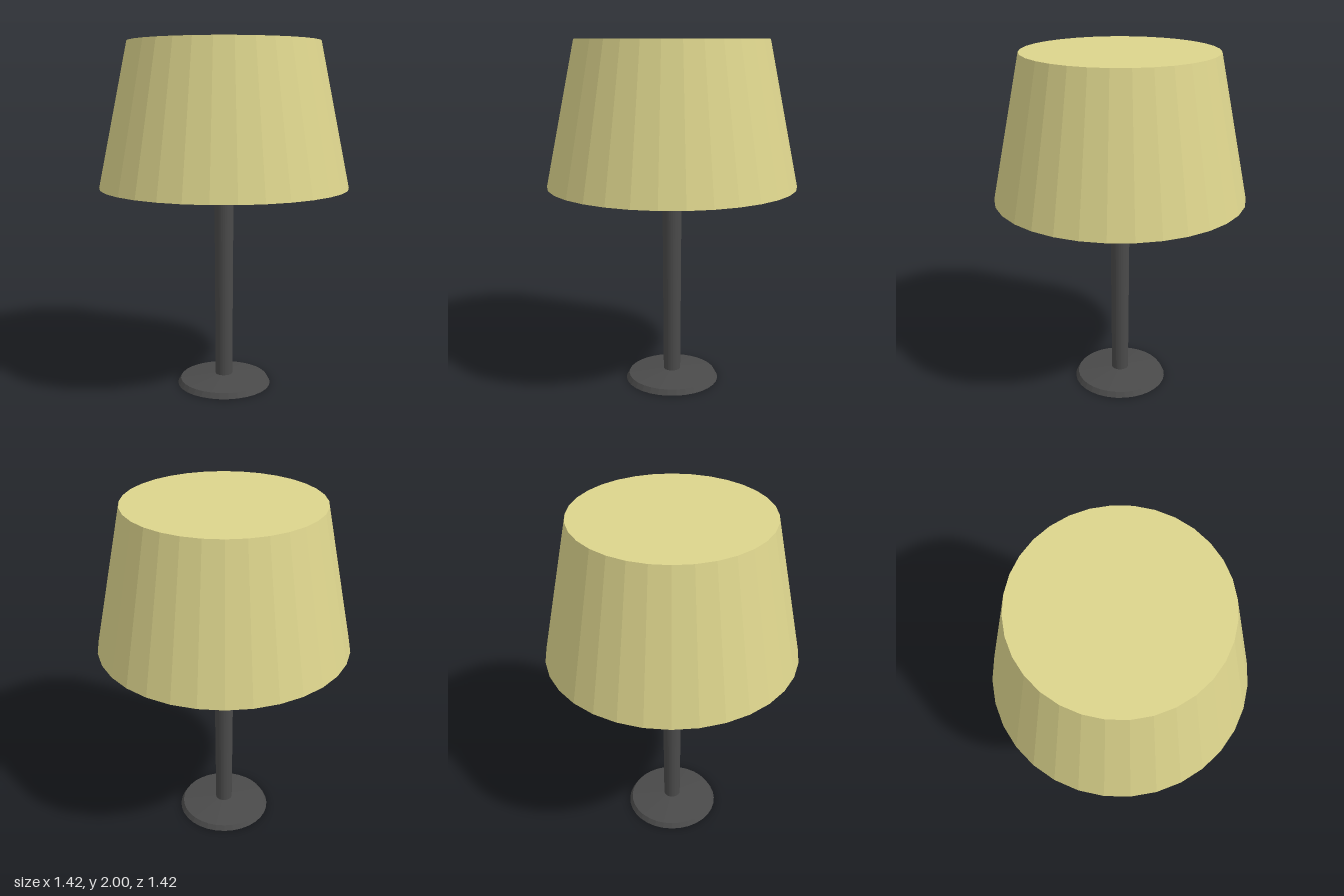
import * as THREE from 'three';

const SIDES = 32;

// Faceted solid of revolution; profile runs from the underside, up the outside, to the top
function turned(name, profile, color) {
  const points = profile.map(([r, y]) => new THREE.Vector2(r, y));
  const material = new THREE.MeshStandardMaterial({ color, flatShading: true });
  const mesh = new THREE.Mesh(new THREE.LatheGeometry(points, SIDES), material);
  mesh.name = name;
  return mesh;
}

export function createModel() {
  const lamp = new THREE.Group();
  lamp.name = 'tableLamp';
  const dark = 0x4a4a4a;
  const cream = 0xdcd48c;

  // Low disc foot with a bevelled edge and a gently sloping top
  lamp.add(turned('base', [[0, 0], [0.275, 0], [0.258, 0.03], [0.05, 0.055], [0, 0.055]], dark));

  // Slim pole, widening very slightly towards the shade
  lamp.add(turned('pole', [[0, 0.04], [0.05, 0.04], [0.056, 1.2], [0.058, 1.96], [0, 1.96]], dark));

  // Hollow tapered shade: inner ceiling, inner wall, bottom rim, outer wall, closed top
  lamp.add(turned('shade', [
    [0, 1.95], [0.495, 1.95], [0.655, 1.183], [0.712, 1.183], [0.542, 2], [0, 2],
  ], cream));

  return lamp;
}
